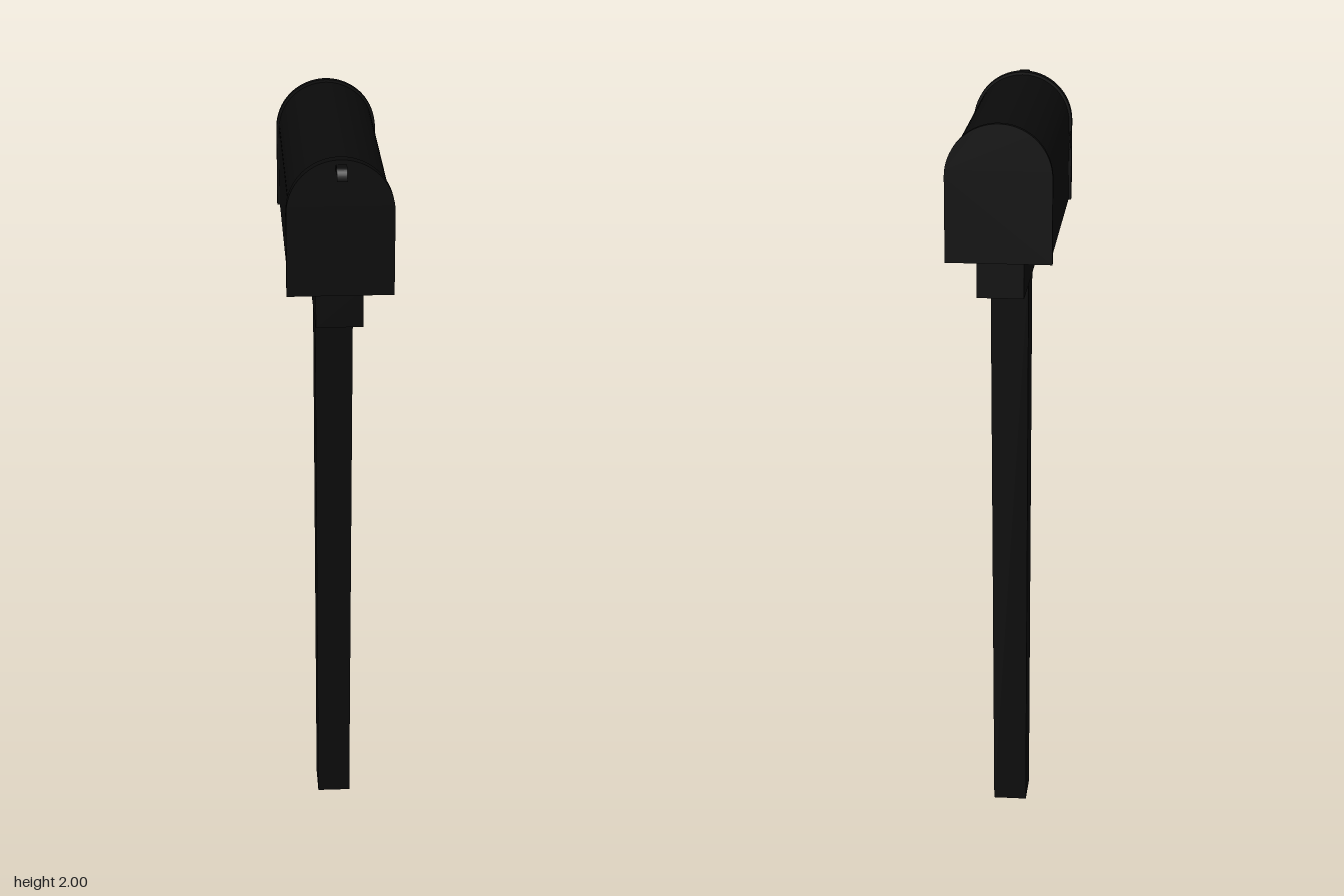
import * as THREE from 'three';

const black = new THREE.MeshStandardMaterial({ color: 0x0a0a0a });

// Arched outline: flat base, straight sides, half-round top
function archShape(r, base, top) {
  const s = new THREE.Shape();
  s.moveTo(-r, base);
  s.lineTo(r, base);
  s.lineTo(r, top - r);
  s.absarc(0, top - r, r, 0, Math.PI, false);
  s.closePath();
  return s;
}

function extrude(shape, depth) {
  return new THREE.ExtrudeGeometry(shape, { depth, bevelEnabled: false, curveSegments: 24 });
}

export function createModel() {
  const group = new THREE.Group();
  const add = (name, geometry, x = 0, y = 0, z = 0) => {
    const mesh = new THREE.Mesh(geometry, black);
    mesh.name = name;
    mesh.position.set(x, y, z);
    group.add(mesh);
    return mesh;
  };

  // Arched box with a wider rim at each end
  add('boxBody', extrude(archShape(0.127, 1.65, 1.993), 0.70), 0, 0, -0.385);
  add('backCap', extrude(archShape(0.134, 1.65, 2), 0.016), 0, 0, -0.398);
  add('frontDoor', extrude(archShape(0.134, 1.65, 2), 0.028), 0, 0, 0.308);

  // Mounting block under the box
  add('mountBlock', new THREE.BoxGeometry(0.12, 0.104, 0.64), 0, 1.6, -0.03);

  // Square post, slightly narrower at the foot
  const post = new THREE.BoxGeometry(0.1, 1.55, 0.12);
  const p = post.attributes.position;
  for (let i = 0; i < p.count; i++) {
    if (p.getY(i) < 0) p.setXYZ(i, p.getX(i) * 0.9, p.getY(i), p.getZ(i) * 0.91);
  }
  post.computeVertexNormals();
  add('post', post, 0, 0.775, -0.03);

  // Curved pull tab at the top of the door
  const tab = new THREE.Shape();
  tab.moveTo(0.33, 1.972);
  tab.quadraticCurveTo(0.345, 1.996, 0.367, 1.996);
  tab.quadraticCurveTo(0.397, 1.996, 0.397, 1.964);
  tab.lineTo(0.392, 1.964);
  tab.quadraticCurveTo(0.392, 1.991, 0.367, 1.991);
  tab.quadraticCurveTo(0.348, 1.991, 0.334, 1.968);
  tab.closePath();
  const tabMesh = add('doorPull', extrude(tab, 0.026), 0.013);
  tabMesh.rotation.y = -Math.PI / 2;

  // Flag plate with rounded rear corners on the left side
  const flag = new THREE.Shape();
  flag.moveTo(0.31, 1.75);
  flag.lineTo(0.31, 1.87);
  flag.lineTo(0.22, 1.87);
  flag.quadraticCurveTo(0.195, 1.87, 0.195, 1.845);
  flag.lineTo(0.195, 1.775);
  flag.quadraticCurveTo(0.195, 1.75, 0.22, 1.75);
  flag.closePath();
  const flagMesh = add('flag', extrude(flag, 0.008), 0.133);
  flagMesh.rotation.y = -Math.PI / 2;

  // Thin latch strip on the right side, standing just off the wall
  add('latchStrip', new THREE.BoxGeometry(0.004, 0.04, 0.06), -0.132, 1.82, 0.285);

  return group;
}
